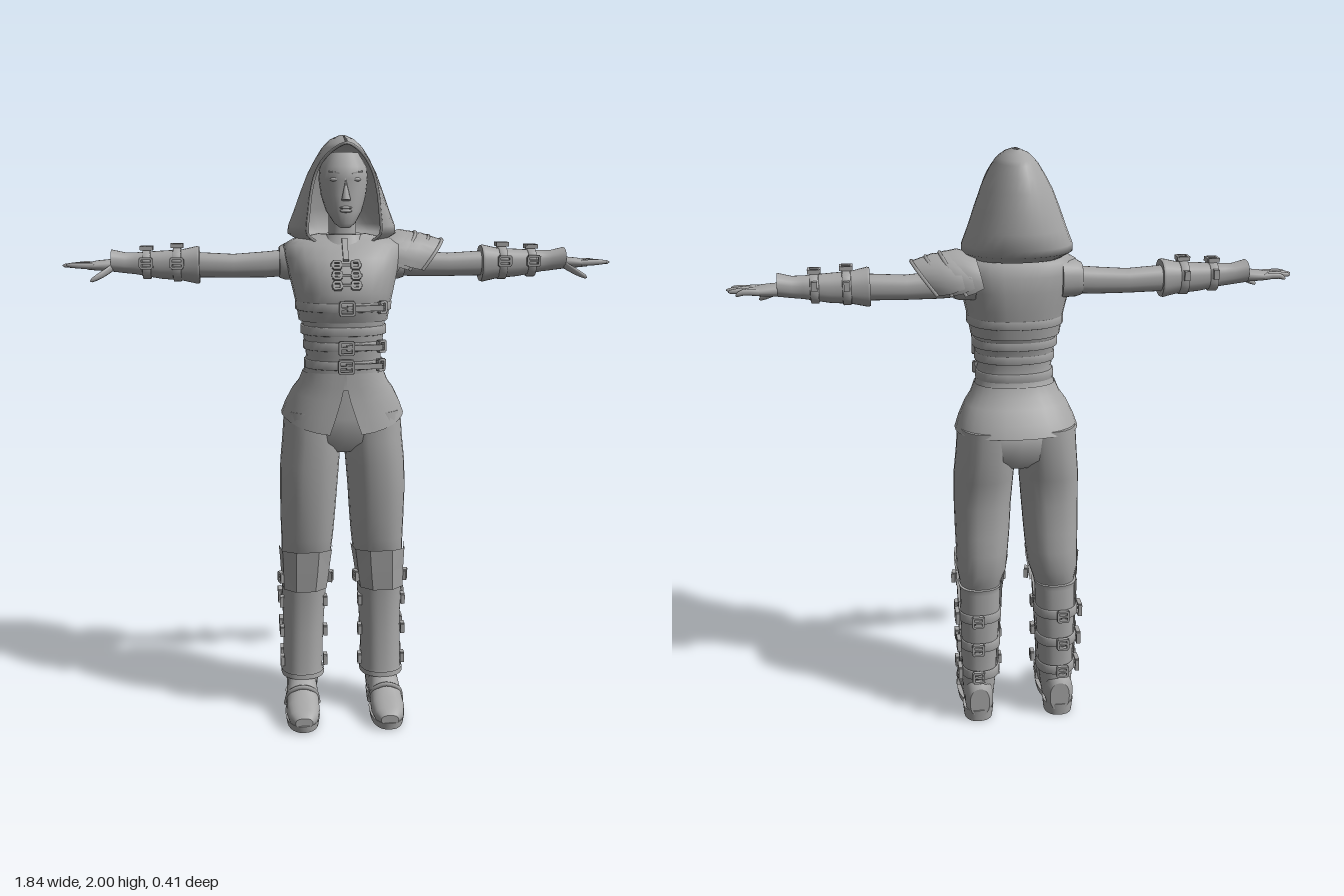
import * as THREE from 'three';

const grey = new THREE.MeshStandardMaterial({ color: 0xa6a6a6, side: THREE.DoubleSide });
grey.name = 'plain grey';
const N = 28, V = (x, y, z) => new THREE.Vector3(x, y, z);

function add(parent, name, geometry, x = 0, y = 0, z = 0) {
  const mesh = new THREE.Mesh(geometry, grey);
  mesh.name = name;
  mesh.position.set(x, y, z);
  parent.add(mesh);
  return mesh;
}

// Skin a list of equal-length rings; closed rings can be capped at both ends
function skin(rings, closed = true, cap = closed) {
  const n = rings[0].length, pos = [], index = [];
  rings.forEach(r => r.forEach(p => pos.push(p.x, p.y, p.z)));
  for (let j = 0; j < rings.length - 1; j++)
    for (let i = 0; i < (closed ? n : n - 1); i++) {
      const a = j * n + i, b = j * n + (i + 1) % n;
      index.push(a, a + n, b, b, a + n, b + n);
    }
  if (cap) for (const [r, top] of [[rings[0], false], [rings.at(-1), true]]) {
    const s = pos.length / 3, c = V(0, 0, 0);
    r.forEach(p => { pos.push(p.x, p.y, p.z); c.addScaledVector(p, 1 / n); });
    pos.push(c.x, c.y, c.z);
    for (let i = 0; i < n; i++) {
      const a = s + i, b = s + (i + 1) % n;
      index.push(s + n, top ? b : a, top ? a : b);
    }
  }
  const g = new THREE.BufferGeometry();
  g.setAttribute('position', new THREE.Float32BufferAttribute(pos, 3));
  g.setIndex(index);
  g.computeVertexNormals();
  return g;
}

// Cross-sections, with slightly squared ovals
const sq = v => Math.sign(v) * Math.abs(v) ** 0.85;
const turn = (f, n = N) => Array.from({ length: n }, (_, i) => f(sq(Math.cos(i / n * 2 * Math.PI)), sq(Math.sin(i / n * 2 * Math.PI))));
const ringY = ([y, cx, hw, zf, zb]) => turn((c, s) => V(cx + hw * c, y, (zf + zb) / 2 + (zf - zb) / 2 * s));
const ringX = ([x, cy, hy, cz, hz]) => turn((c, s) => V(x, cy + hy * c, cz - hz * s));
const ringZ = ([z, cx, hw, y0, y1]) => turn((c, s) => V(cx + hw * c, (y0 + y1) / 2 - (y1 - y0) / 2 * s, z));
const loftY = (rows, cap = true) => skin(rows.map(ringY), true, cap);
const loftX = (rows, cap = true) => skin(rows.map(ringX), true, cap);
const loftZ = rows => skin(rows.map(ringZ));

// Open shell around y; each row ends with the half angle left open at direction "at"
const shellY = (rows, at, drop = () => 0, n = N) => skin(rows.map(([y, cx, hw, zf, zb, gap], j) =>
  Array.from({ length: n + 1 }, (_, i) => {
    const a = at + gap + (2 * Math.PI - 2 * gap) * i / n, c = sq(Math.cos(a)), s = sq(Math.sin(a));
    return V(cx + hw * c, y - drop(c, s, j), (zf + zb) / 2 + (zf - zb) / 2 * s);
  })), false);

// Square buckle frame with a pin, facing +z
function buckle(parent, x, y, z, w, h, ry = 0) {
  const g = new THREE.Group();
  g.name = 'buckle';
  g.position.set(x, y, z);
  g.rotation.y = ry;
  for (const s of [-1, 1]) {
    add(g, 'buckleSide', new THREE.BoxGeometry(0.008, h, 0.014), s * w / 2, 0, 0);
    add(g, 'buckleBar', new THREE.BoxGeometry(w, 0.008, 0.014), 0, s * h / 2, 0);
  }
  add(g, 'bucklePin', new THREE.BoxGeometry(w, 0.007, 0.01));
  parent.add(g);
  return g;
}

function buildHead(root) {
  add(root, 'neck', loftY([[1.62, 0, 0.055, 0.06, -0.06], [1.68, 0, 0.045, 0.05, -0.05], [1.77, 0, 0.045, 0.05, -0.05]]));
  add(root, 'collar', loftY([[1.645, 0, 0.085, 0.09, -0.09], [1.685, 0, 0.065, 0.07, -0.07]], false));
  add(root, 'head', loftY([[1.708, 0, 0.016, 0.118, 0.07], [1.722, 0, 0.034, 0.132, 0.03], [1.76, 0, 0.058, 0.132, -0.03],
    [1.81, 0, 0.073, 0.128, -0.06], [1.86, 0, 0.08, 0.125, -0.07], [1.90, 0, 0.076, 0.125, -0.07], [1.945, 0, 0.05, 0.085, -0.05]]));
  const nose = add(root, 'nose', new THREE.ConeGeometry(0.015, 0.07, 8), 0, 1.83, 0.132);
  nose.rotation.x = -0.2;
  for (const [y, h] of [[1.772, 0.005], [1.762, 0.006]]) add(root, 'lip', new THREE.SphereGeometry(1, 12, 8), 0, y, 0.131).scale.set(0.02, h, 0.009);
  for (const s of [-1, 1]) {
    add(root, 'eye', new THREE.SphereGeometry(1, 12, 8), s * 0.034, 1.86, 0.114).scale.set(0.016, 0.007, 0.008);
    const brow = add(root, 'eyebrow', new THREE.BoxGeometry(0.036, 0.005, 0.01), s * 0.036, 1.882, 0.116);
    brow.rotation.set(0, s * 0.3, s * 0.15);
  }

  // Hood rows: height, half width, widest z, opening z, opening half width, back z
  const rows = [[1.66, 0.14, -0.03, 0.055, 0.09, -0.125], [1.685, 0.18, -0.03, 0.07, 0.118, -0.18], [1.71, 0.178, -0.03, 0.08, 0.12, -0.2],
    [1.76, 0.158, -0.03, 0.083, 0.115, -0.2], [1.82, 0.136, -0.03, 0.086, 0.108, -0.192], [1.88, 0.112, -0.03, 0.09, 0.093, -0.178],
    [1.925, 0.088, -0.02, 0.11, 0.068, -0.162], [1.96, 0.066, -0.02, 0.15, 0.03, -0.14], [1.972, 0.055, -0.02, 0.168, 0.004, -0.125],
    [1.988, 0.038, -0.02, 0.1, 0.003, -0.09], [2, 0.01, -0.01, 0.03, 0.001, -0.04]];
  const rings = rows.map(([y, hw, zc, ze, xe, zb]) => {
    const side = Array.from({ length: 6 }, (_, i) => {
      const t = i / 6 * Math.PI / 2;
      return V(xe + (hw - xe) * Math.sin(t), y, zc + (ze - zc) * (0.5 * Math.cos(t) + 0.5 * (1 - i / 6)));
    });
    const back = Array.from({ length: 17 }, (_, i) => V(hw * Math.cos(i / 16 * Math.PI), y, zc + (zb - zc) * Math.sin(i / 16 * Math.PI)));
    return [...side, ...back, ...side.map(p => V(-p.x, p.y, p.z)).reverse()].reverse();
  });
  add(root, 'hood', skin(rings, false));
  const edge = rings.slice(0, 9);
  const path = [...edge.map(r => r[0]), ...edge.map(r => r.at(-1)).reverse()];
  add(root, 'hoodRim', new THREE.TubeGeometry(new THREE.CatmullRomCurve3(path), 60, 0.005, 6));
}

function buildTorso(root) {
  add(root, 'vest', loftY([[1.405, 0, 0.148, 0.15, -0.11], [1.45, 0, 0.155, 0.168, -0.118], [1.5, 0, 0.166, 0.172, -0.125],
    [1.56, 0, 0.18, 0.157, -0.13], [1.61, 0, 0.192, 0.128, -0.125], [1.65, 0, 0.196, 0.09, -0.11], [1.668, 0, 0.165, 0.065, -0.09], [1.685, 0, 0.08, 0.05, -0.06]]));
  add(root, 'waist', loftY([[1.18, 0, 0.155, 0.13, -0.1], [1.23, 0, 0.133, 0.125, -0.072], [1.29, 0, 0.125, 0.135, -0.06], [1.36, 0, 0.134, 0.142, -0.075], [1.43, 0, 0.142, 0.15, -0.1]]));
  add(root, 'skirt', shellY([[1.235, 0, 0.136, 0.128, -0.076, 0.01], [1.2, 0, 0.15, 0.13, -0.09, 0.02], [1.17, 0, 0.172, 0.133, -0.115, 0.06], [1.125, 0, 0.194, 0.14, -0.148, 0.13], [1.085, 0, 0.208, 0.146, -0.167, 0.2]],
    Math.PI / 2, (c, s, j) => Math.max(0, s) ** 2 * 0.0135 * j));
  add(root, 'hips', loftY([[0.96, 0, 0.08, 0.07, -0.1], [1.0, 0, 0.16, 0.115, -0.145], [1.08, 0, 0.19, 0.12, -0.15], [1.2, 0, 0.145, 0.115, -0.085]]));
  // Belts around the waist and under the chest
  for (const [y, hw, zf, zb] of [[1.455, 0.16, 0.174, -0.123], [1.375, 0.143, 0.152, -0.085], [1.325, 0.134, 0.147, -0.072], [1.262, 0.132, 0.138, -0.069]])
    add(root, 'belt', loftY([-0.015, -0.013, 0.013, 0.015].map((d, i) => [y + d, 0, hw - (i % 3 ? 0 : 0.006), zf - (i % 3 ? 0 : 0.006), zb + (i % 3 ? 0 : 0.006)]), false));
  for (const [y, z] of [[1.455, 0.183], [1.325, 0.165], [1.262, 0.155]]) {
    buckle(root, 0, y, z, 0.045, 0.04);
    add(root, 'beltTongue', new THREE.BoxGeometry(0.12, 0.018, 0.012), 0.06, y, z - 0.012).rotation.y = 0.14;
    buckle(root, 0.118, y, z - 0.045, 0.025, 0.034, 0.7);
  }
  // Chest clasps
  for (const [y, z] of [[1.592, 0.145], [1.56, 0.16], [1.528, 0.169]]) for (const s of [-1, 1]) {
    buckle(root, s * 0.03, y, z, 0.024, 0.022).rotation.x = -0.35;
    add(root, 'claspStrap', new THREE.BoxGeometry(0.05, 0.009, 0.008), s * 0.025, y, z);
  }
  const cord = add(root, 'collarStrap', new THREE.BoxGeometry(0.018, 0.09, 0.01), 0, 1.638, 0.108);
  cord.rotation.x = -0.75;
}

function buildArm() {
  const arm = new THREE.Group();
  arm.name = 'arm';
  add(arm, 'shoulderCuff', loftX([[0.14, 1.595, 0.065, -0.04, 0.07], [0.19, 1.592, 0.06, -0.04, 0.062], [0.208, 1.59, 0.052, -0.04, 0.054]]));
  add(arm, 'sleeve', loftX([[0.15, 1.59, 0.045, -0.045, 0.045], [0.25, 1.582, 0.043, -0.045, 0.043], [0.36, 1.578, 0.039, -0.047, 0.04],
    [0.5, 1.583, 0.042, -0.045, 0.042], [0.72, 1.585, 0.026, -0.047, 0.028]]));
  add(arm, 'bracer', loftX([[0.472, 1.582, 0.06, -0.04, 0.06], [0.48, 1.582, 0.062, -0.04, 0.062], [0.53, 1.582, 0.051, -0.042, 0.05],
    [0.6, 1.583, 0.046, -0.044, 0.046], [0.68, 1.588, 0.036, -0.046, 0.037], [0.715, 1.59, 0.034, -0.046, 0.036], [0.76, 1.598, 0.036, -0.044, 0.046]]));
  for (const [x, r] of [[0.545, 0.056], [0.645, 0.048]]) {
    add(arm, 'bracerStrap', loftX([-0.014, -0.012, 0.012, 0.014].map((d, i) => [x + d, 1.584, r - (i % 3 ? 0 : 0.006), -0.043, r + 0.003 - (i % 3 ? 0 : 0.006)]), false));
    buckle(arm, x, 1.592, -0.043 + r + 0.009, 0.038, 0.03);
    buckle(arm, x, 1.584 + r + 0.006, -0.04, 0.034, 0.04).rotation.x = -Math.PI / 2;
    add(arm, 'strapTip', new THREE.BoxGeometry(0.018, 0.03, 0.02), x, 1.6, -0.043 - r - 0.006);
  }
  // Hand with palm down and thumb forward
  add(arm, 'palm', loftX([[0.72, 1.585, 0.022, -0.045, 0.027], [0.76, 1.583, 0.02, -0.043, 0.036], [0.81, 1.582, 0.016, -0.043, 0.043], [0.838, 1.58, 0.011, -0.043, 0.04]]));
  const digit = (name, pts, r) => add(arm, name, skinTube(pts, r));
  [[-0.077, 0.888, 1.575], [-0.055, 0.912, 1.582], [-0.032, 0.92, 1.583], [-0.01, 0.905, 1.586]].forEach(([z, tip, y]) =>
    digit('finger', [V(0.815, 1.582, z * 0.95 - 0.002), V(0.865, 1.584, z), V(tip, y, z)], 0.0095));
  digit('thumb', [V(0.755, 1.578, -0.02), V(0.785, 1.558, 0.012), V(0.825, 1.537, 0.03)], 0.012);
  return arm;
}

// Tapered rounded digit along a short path
function skinTube(pts, r) {
  const curve = new THREE.CatmullRomCurve3(pts);
  return loftX([0, 0.25, 0.5, 0.75, 0.93, 1].map((t, i) => {
    const p = curve.getPoint(t), k = r * [1.1, 1.05, 1, 0.85, 0.6, 0.15][i];
    return [p.x, p.y, k, p.z, k];
  }));
}

function buildLeg() {
  const leg = new THREE.Group();
  leg.name = 'leg';
  add(leg, 'trouserLeg', loftY([[0.48, 0.133, 0.066, 0.03, -0.105], [0.53, 0.13, 0.073, 0.05, -0.112], [0.58, 0.126, 0.086, 0.075, -0.135], [0.65, 0.122, 0.09, 0.09, -0.13],
    [0.72, 0.12, 0.094, 0.1, -0.13], [0.82, 0.117, 0.098, 0.113, -0.118], [0.92, 0.112, 0.101, 0.118, -0.132], [1.0, 0.105, 0.1, 0.12, -0.148], [1.1, 0.1, 0.098, 0.115, -0.148]]));
  add(leg, 'bootShaft', loftY([[0.06, 0.143, 0.052, 0.03, -0.115], [0.15, 0.14, 0.06, 0.035, -0.108], [0.28, 0.137, 0.064, 0.03, -0.115], [0.4, 0.134, 0.069, 0.028, -0.122], [0.5, 0.133, 0.07, 0.03, -0.118], [0.52, 0.133, 0.075, 0.035, -0.122]]));
  add(leg, 'shinGuard', shellY([[0.14, 0.14, 0.073, 0.058, -0.115, 1.35], [0.16, 0.14, 0.069, 0.052, -0.112, 1.35], [0.3, 0.137, 0.071, 0.042, -0.118, 1.4], [0.42, 0.134, 0.076, 0.042, -0.12, 1.4], [0.51, 0.133, 0.08, 0.05, -0.12, 1.4]], -Math.PI / 2));
  add(leg, 'ankleTrim', shellY([[0.138, 0.14, 0.076, 0.062, -0.118, 1.3], [0.155, 0.14, 0.075, 0.06, -0.117, 1.3]], -Math.PI / 2));
  // Faceted knee plate with three panels
  const knee = shellY([[0.47, 0.133, 0.082, 0.092, -0.09, 1.35], [0.54, 0.129, 0.088, 0.1, -0.1, 1.35], [0.622, 0.126, 0.096, 0.108, -0.115, 1.4]], -Math.PI / 2, (c, s, j) => j === 2 ? Math.abs(c) * 0.012 : 0, 5).toNonIndexed();
  knee.computeVertexNormals();
  add(leg, 'kneeGuard', knee);
  for (const s of [-1, 1]) {
    for (const y of [0.41, 0.3, 0.19]) buckle(leg, 0.137 + s * 0.076, y, 0, 0.03, 0.03, s * Math.PI / 2);
    buckle(leg, 0.13 + s * 0.086, 0.51, 0.035, 0.028, 0.03, s * 1.3);
  }
  // Calf straps, buckled on the outside
  for (const [y, hw] of [[0.41, 0.077], [0.3, 0.073], [0.19, 0.07]]) {
    add(leg, 'calfStrap', shellY([-0.017, -0.015, 0.015, 0.017].map((d, i) => [y + d, 0.137, hw - (i % 3 ? 0 : 0.006), 0.035, -0.128 + (i % 3 ? 0 : 0.006), 1.1]), Math.PI / 2));
    buckle(leg, 0.137 + hw + 0.003, y, -0.075, 0.045, 0.04, Math.PI / 2);
    buckle(leg, 0.15, y, -0.137, 0.035, 0.036);
  }
  // Shoe, sole and heel
  add(leg, 'shoe', loftZ([[-0.118, 0.145, 0.035, 0.02, 0.13], [-0.1, 0.145, 0.05, 0.012, 0.16], [-0.02, 0.145, 0.053, 0.015, 0.17], [0.04, 0.146, 0.054, 0.015, 0.152],
    [0.08, 0.147, 0.056, 0.013, 0.122], [0.13, 0.148, 0.058, 0.012, 0.092], [0.175, 0.148, 0.05, 0.014, 0.075], [0.2, 0.148, 0.03, 0.02, 0.055]]));
  add(leg, 'sole', loftY([[0.004, 0.148, 0.056, 0.203, -0.03], [0.028, 0.148, 0.06, 0.207, -0.03]]));
  add(leg, 'heel', loftY([[0, 0.146, 0.05, 0, -0.118], [0.045, 0.146, 0.055, 0, -0.122]]));
  add(leg, 'insteepStrap'.replace('ee', 'e'), new THREE.TubeGeometry(new THREE.CatmullRomCurve3([V(0.09, 0.05, 0.06), V(0.105, 0.105, 0.085), V(0.147, 0.124, 0.093), V(0.19, 0.105, 0.085), V(0.205, 0.05, 0.06)]), 20, 0.008, 6));
  return leg;
}

// Layered shoulder plates on the left: arches leaning outward, each with a pointed rim
function buildPauldron(root) {
  const arch = (x, y, h, w, lean) => Array.from({ length: 17 }, (_, i) => {
    const a = (i / 16 - 0.5) * Math.PI, c = Math.cos(a);
    return V(x - lean * (1 - c), y + h * c, -0.05 - w * Math.sin(a));
  });
  const layers = [[0.14, 0.25, 0], [0.17, 0.295, -0.012], [0.2, 0.34, -0.025]];
  layers.forEach(([x0, x1, d], k) => {
    const rim = arch(x1, 1.565, 0.122 + d, 0.098 - k * 0.008, 0.075);
    add(root, 'shoulderPlate', skin([arch(x0, 1.59, 0.09, 0.105, 0.02), arch((x0 + x1) / 2, 1.575, 0.122 + d / 2, 0.106, 0.045), rim], false));
    add(root, 'shoulderPlateRim', new THREE.TubeGeometry(new THREE.CatmullRomCurve3(rim), 32, 0.006, 6));
  });
}

export function createModel() {
  const root = new THREE.Group();
  root.name = 'hoodedFigure';
  buildHead(root);
  buildTorso(root);
  buildPauldron(root);
  for (const [side, s] of [['left', 1], ['right', -1]]) {
    for (const [part, limb] of [['Arm', buildArm()], ['Leg', buildLeg()]]) {
      limb.name = side + part;
      limb.scale.x = s;
      root.add(limb);
    }
  }
  return root;
}
